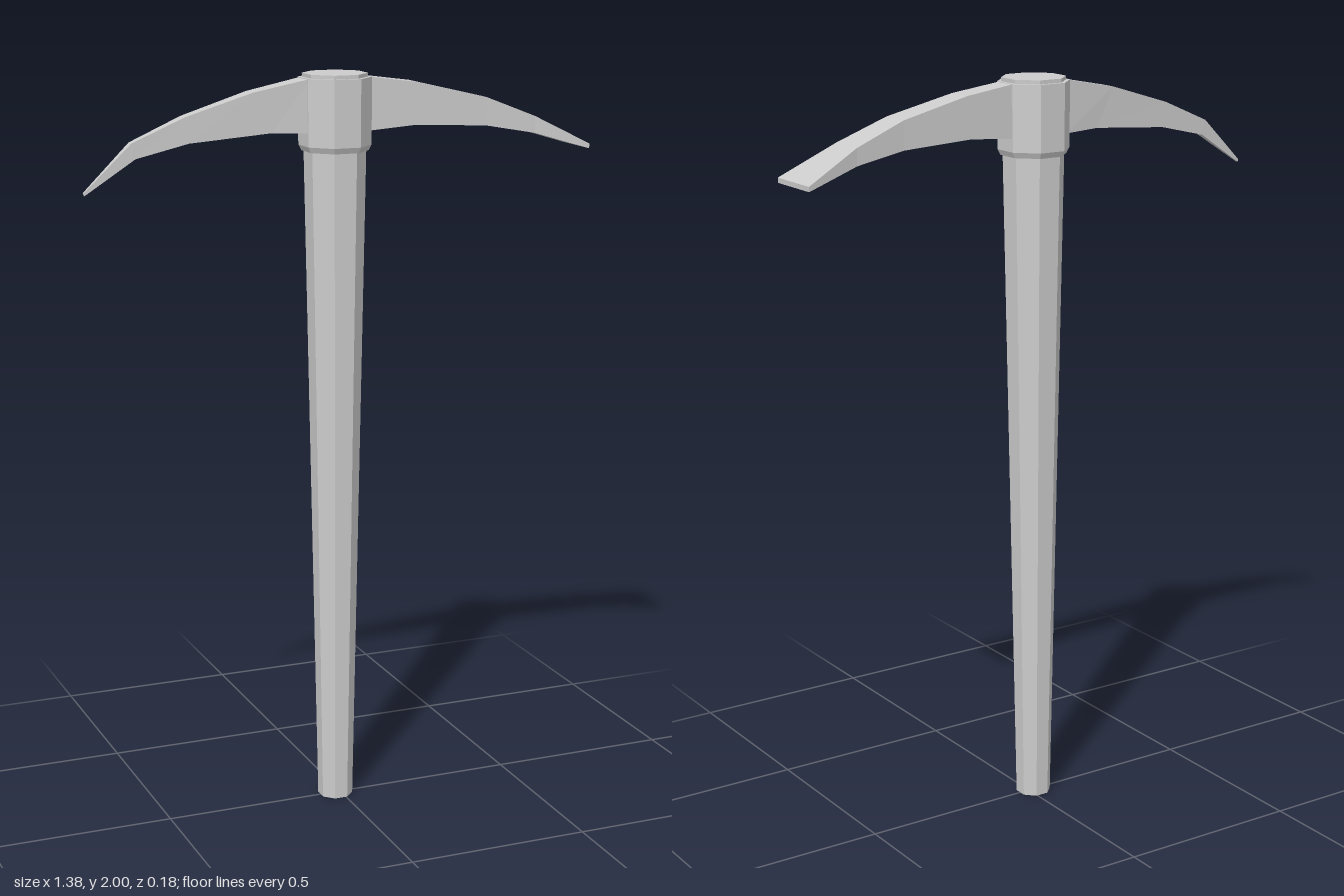
import * as THREE from 'three';

const CX = -0.015; // handle axis

// Straight octagonal piece with flats facing front and sides; sizes are apothems
function octagon(top, bottom, y0, y1, material, name) {
  const k = 1 / Math.cos(Math.PI / 8);
  const geometry = new THREE.CylinderGeometry(top * k, bottom * k, y1 - y0, 8);
  geometry.rotateY(Math.PI / 8);
  const mesh = new THREE.Mesh(geometry, material);
  mesh.position.set(CX, (y0 + y1) / 2, 0);
  mesh.name = name;
  return mesh;
}

// Four-sided loft along +x; each section is [topX, topY, bottomX, bottomY, halfWidth]
function arm(sections, material, name) {
  const rings = sections.map(([tx, ty, bx, by, w]) => [
    [tx, ty, w], [tx, ty, -w], [bx, by, -w], [bx, by, w],
  ]);
  const positions = [];
  const quad = (a, b, c, d) => positions.push(...a, ...b, ...c, ...a, ...c, ...d);
  for (let i = 0; i < rings.length - 1; i++) {
    for (let k = 0; k < 4; k++) {
      const n = (k + 1) % 4;
      quad(rings[i][k], rings[i + 1][k], rings[i + 1][n], rings[i][n]);
    }
  }
  const first = rings[0], last = rings[rings.length - 1];
  quad(first[0], first[1], first[2], first[3]);
  quad(last[0], last[3], last[2], last[1]);
  const geometry = new THREE.BufferGeometry();
  geometry.setAttribute('position', new THREE.Float32BufferAttribute(positions, 3));
  geometry.computeVertexNormals();
  const mesh = new THREE.Mesh(geometry, material);
  mesh.name = name;
  return mesh;
}

export function createModel() {
  const group = new THREE.Group();
  group.name = 'pickaxe';
  const grey = new THREE.MeshStandardMaterial({ color: 0xcccccc, flatShading: true });
  grey.name = 'light grey';

  // Tapered handle, passing through the head
  group.add(octagon(0.079, 0.044, 0, 2, grey, 'handle'));

  // Socket around the handle, with a small bevel at its lower edge
  group.add(octagon(0.089, 0.088, 1.815, 1.99, grey, 'socket'));
  group.add(octagon(0.088, 0.081, 1.8, 1.815, grey, 'socketBevel'));

  // Pointed arm, from tip to socket
  group.add(arm([
    [-0.695, 1.725, -0.693, 1.718, 0.004],
    [-0.57, 1.845, -0.56, 1.805, 0.012],
    [-0.43, 1.905, -0.42, 1.838, 0.018],
    [-0.25, 1.96, -0.2, 1.855, 0.025],
    [-0.095, 1.99, -0.095, 1.85, 0.033],
  ], grey, 'pointedArm'));

  // Flat arm, widening from socket to cutting edge
  group.add(arm([
    [0.065, 1.99, 0.065, 1.85, 0.032],
    [0.21, 1.97, 0.2, 1.86, 0.036],
    [0.4, 1.925, 0.4, 1.85, 0.042],
    [0.54, 1.87, 0.54, 1.825, 0.052],
    [0.69, 1.793, 0.69, 1.78, 0.08],
  ], grey, 'flatArm'));

  return group;
}
